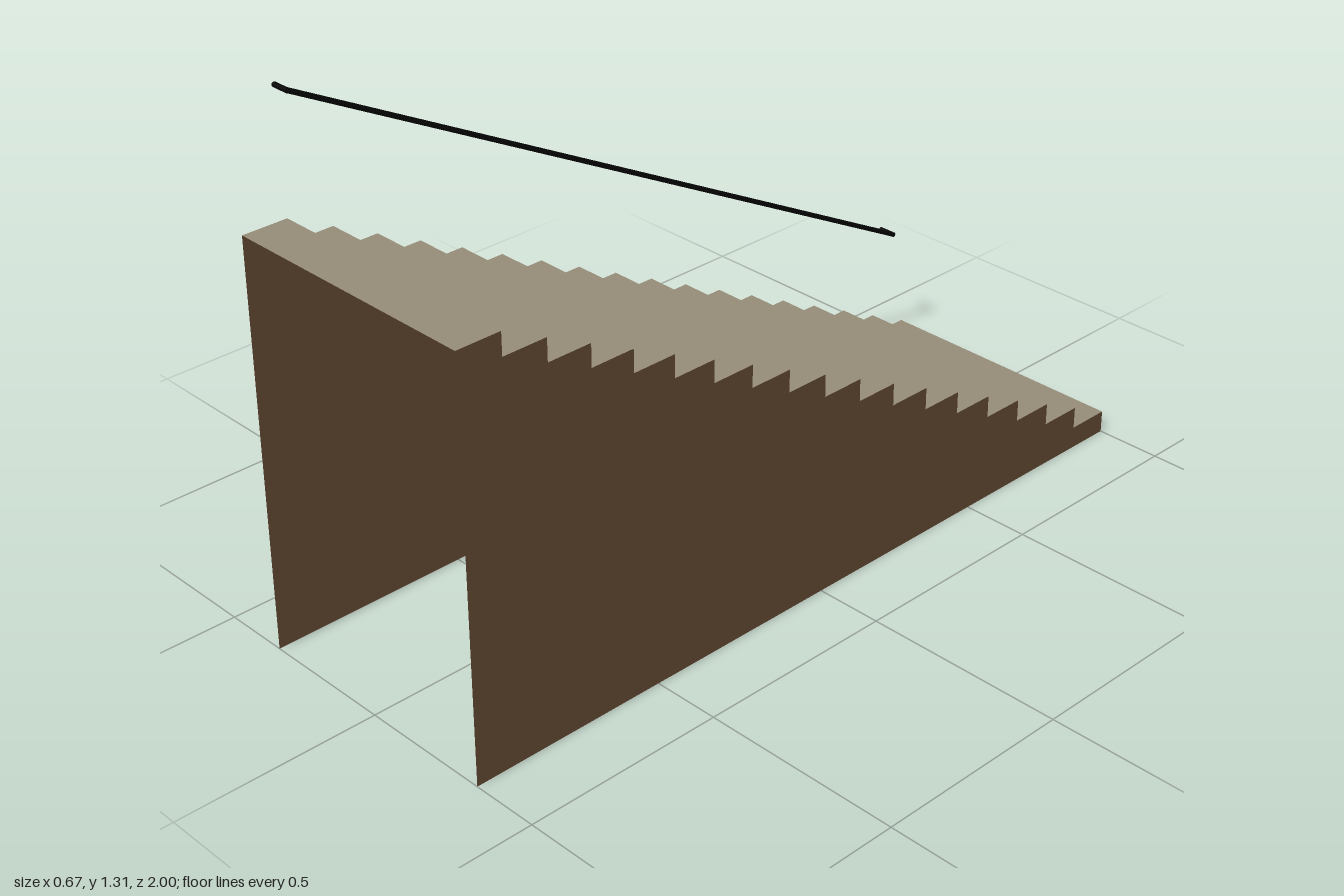
import * as THREE from 'three';

const STEPS = 18;
const HALF_WIDTH = 0.333;
const RISE = 1 / STEPS;
const RUN = 2 / STEPS;

function material(name, color) {
  const m = new THREE.MeshStandardMaterial({ color, side: THREE.DoubleSide });
  m.name = name;
  return m;
}

export function createModel() {
  const stone = material('stone grey', 0x968c78);
  const wood = material('dark wood', 0x634a33);
  const black = material('black metal', 0x050505);
  const model = new THREE.Group();
  model.name = 'staircase';

  const add = (parent, name, geometry, mat) => {
    const mesh = new THREE.Mesh(geometry, mat);
    mesh.name = name;
    parent.add(mesh);
    return mesh;
  };

  // Folded sheet of risers and treads, climbing from back to front
  const stairs = new THREE.Group();
  stairs.name = 'steps';
  model.add(stairs);
  const riserGeometry = new THREE.PlaneGeometry(2 * HALF_WIDTH, RISE).rotateY(Math.PI);
  const treadGeometry = new THREE.PlaneGeometry(2 * HALF_WIDTH, RUN).rotateX(-Math.PI / 2);
  for (let i = 0; i < STEPS; i++) {
    const z = -1 + i * RUN;
    add(stairs, 'riser', riserGeometry, stone).position.set(0, (i + 0.5) * RISE, z);
    add(stairs, 'tread', treadGeometry, stone).position.set(0, (i + 1) * RISE, z + RUN / 2);
  }

  // Thin stepped side panels; front and underside stay open
  const outline = new THREE.Shape();
  outline.moveTo(-1, 0);
  for (let i = 0; i < STEPS; i++) {
    outline.lineTo(-1 + i * RUN, (i + 1) * RISE);
    outline.lineTo(-1 + (i + 1) * RUN, (i + 1) * RISE);
  }
  outline.lineTo(1, 0);
  for (const side of [-1, 1]) {
    const panel = new THREE.ShapeGeometry(outline).rotateY(-Math.PI / 2);
    if (side > 0) {
      // Turn the faces so they look outwards
      const index = panel.index.array;
      for (let i = 0; i < index.length; i += 3) {
        [index[i], index[i + 1]] = [index[i + 1], index[i]];
      }
      panel.computeVertexNormals();
    }
    add(model, side > 0 ? 'leftPanel' : 'rightPanel', panel, wood).position.x = side * HALF_WIDTH;
  }

  // Handrail with a short bracket at each end
  const rail = new THREE.Group();
  rail.name = 'handrail';
  model.add(rail);
  const rod = (name, a, b) => {
    const path = new THREE.LineCurve3(a, b);
    const mesh = add(rail, name, new THREE.CylinderGeometry(0.006, 0.006, path.getLength(), 8), black);
    mesh.position.copy(path.getPoint(0.5));
    mesh.quaternion.setFromUnitVectors(new THREE.Vector3(0, 1, 0), b.clone().sub(a).normalize());
  };
  const top = new THREE.Vector3(-0.285, 1.3, 0.9);
  const bottom = new THREE.Vector3(-0.285, 0.358, -0.9);
  rod('rail', bottom, top);
  for (const end of [top, bottom]) {
    rod('railBracket', end.clone().setX(-0.28), end.clone().setX(-0.325));
  }
  return model;
}
